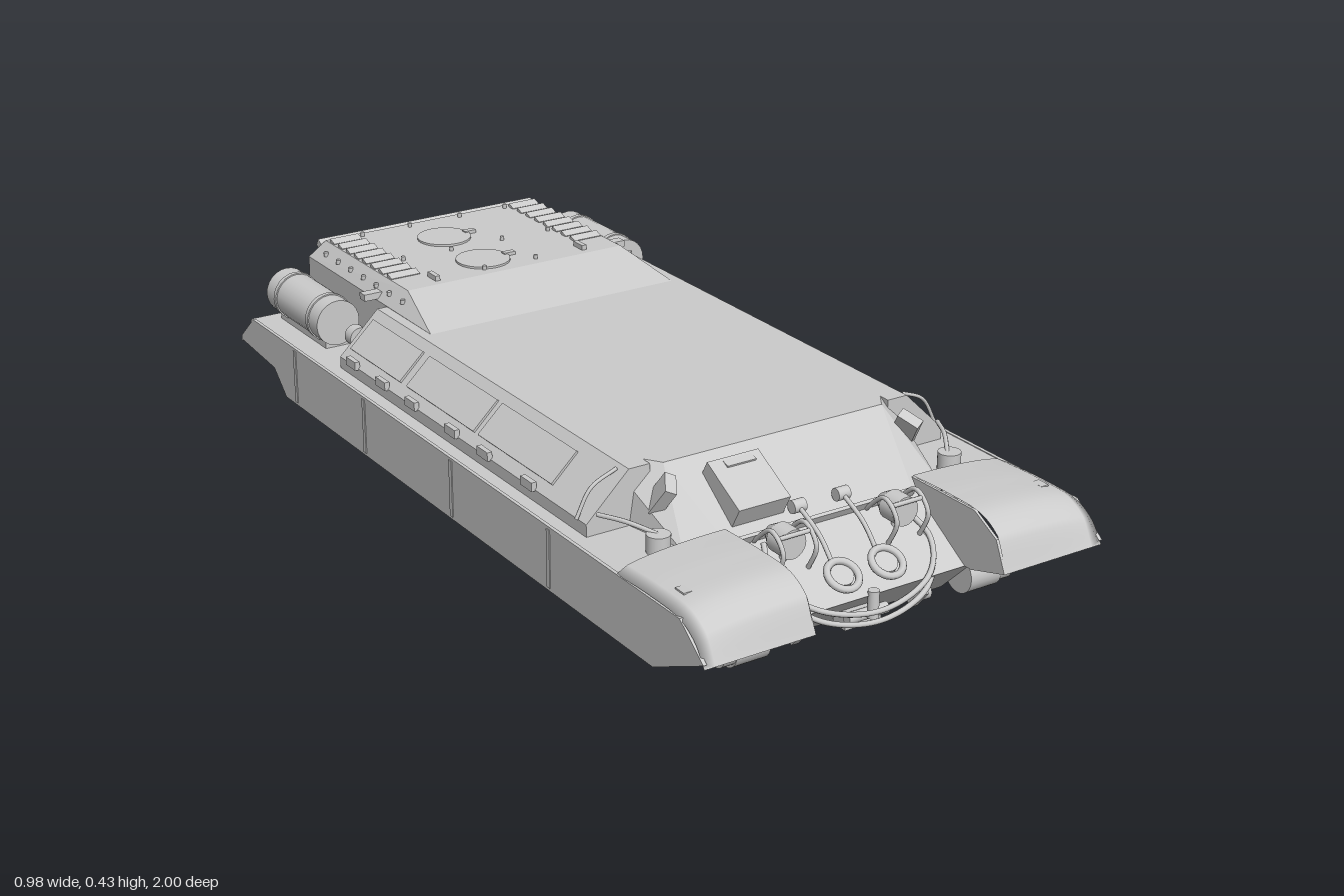
import * as THREE from 'three';
import { ConvexGeometry } from 'three/addons/geometries/ConvexGeometry.js';
import { ParametricGeometry } from 'three/addons/geometries/ParametricGeometry.js';

const mat = new THREE.MeshStandardMaterial({ color: 0xcccccc });
const thin = new THREE.MeshStandardMaterial({ color: 0xcccccc, side: THREE.DoubleSide });

export function createModel() {
  const model = new THREE.Group();
  model.name = 'trackedVehicleHull';

  const add = (name, geo, pos = [0, 0, 0], rot = [0, 0, 0], material = mat) => {
    const m = new THREE.Mesh(geo, material);
    m.name = name;
    m.position.set(...pos);
    m.rotation.set(...rot);
    model.add(m);
    return m;
  };
  const box = (name, size, pos, rot) => add(name, new THREE.BoxGeometry(...size), pos, rot);
  // cylinder along the axis 'x', 'y' or 'z'
  const cyl = (name, r, len, pos, axis = 'y', r2 = r, sides = 24) => {
    const g = new THREE.CylinderGeometry(r, r2, len, sides);
    if (axis === 'x') g.rotateZ(-Math.PI / 2);
    if (axis === 'z') g.rotateX(Math.PI / 2);
    return add(name, g, pos);
  };
  const tube = (name, pts, r = 0.005) => add(name, new THREE.TubeGeometry(
    new THREE.CatmullRomCurve3(pts.map(p => new THREE.Vector3(...p))), pts.length * 8, r, 8));
  // side profile of [z, y] points extruded between two x positions
  const profile = (name, pts, xa, xb) => {
    const shape = new THREE.Shape(pts.map(p => new THREE.Vector2(...p)));
    const g = new THREE.ExtrudeGeometry(shape, { depth: Math.abs(xb - xa), bevelEnabled: false });
    g.rotateY(-Math.PI / 2).translate(Math.max(xa, xb), 0, 0);
    return add(name, g);
  };
  // convex solid symmetric about x = 0
  const solid = (name, pts) => add(name, new ConvexGeometry(pts.flatMap(([x, y, z]) =>
    [new THREE.Vector3(x, y, z), new THREE.Vector3(-x, y, z)])));

  // main body
  profile('lowerHull', [[0.72, 0.25], [0.88, 0.15], [0.79, 0.06], [-0.76, 0.06], [-0.92, 0.2], [-0.95, 0.25]], -0.25, 0.25);
  solid('superstructure', [
    [0.275, 0.375, 0.54], [0.33, 0.375, 0.455], [0.35, 0.375, 0.43], [0.35, 0.375, -0.4],
    [0.23, 0.245, 0.715], [0.32, 0.245, 0.68], [0.35, 0.245, 0.53], [0.35, 0.245, -0.4]]);
  solid('engineDeck', [
    [0.3, 0.375, -0.33], [0.29, 0.42, -0.5], [0.29, 0.42, -0.92], [0.325, 0.375, -0.33],
    [0.325, 0.378, -0.945], [0.325, 0.245, -0.33], [0.325, 0.245, -0.95]]);

  // suspension stations along the hull
  const stations = [0.58, 0.2, -0.2, -0.57];

  for (const s of [1, -1]) {
    // sloped side compartment
    add('sideCompartment', new ConvexGeometry([0.53, -0.54].flatMap(z =>
      [[0.3, 0.245], [0.45, 0.245], [0.45, 0.278], [0.35, 0.375], [0.3, 0.375]]
        .map(([x, y]) => new THREE.Vector3(s * x, y, z)))));
    for (const [z, len] of [[0.22, 0.3], [-0.1, 0.3], [-0.4, 0.24]]) {
      box('stowagePanel', [0.085, 0.008, len], [s * 0.4, 0.328, z], [0, 0, -s * 0.76]);
      for (const d of [-0.3, 0.3])
        box('panelLatch', [0.012, 0.02, 0.045], [s * 0.452, 0.285, z + d * len]);
    }

    // fender and skirt
    box('fender', [0.25, 0.01, 1.66], [s * 0.365, 0.246, -0.11]);
    profile('sideSkirt', [[0.73, 0.253], [0.92, 0.253], [1, 0.19], [0.83, 0.11], [-0.76, 0.11],
      [-0.82, 0.165], [-1, 0.18], [-0.93, 0.253]], s * 0.482, s * 0.49);
    for (const z of [0.45, 0.05, -0.35, -0.7])
      box('skirtSeam', [0.004, 0.13, 0.012], [s * 0.49, 0.182, z]);

    // crowned front mudguard, following a curve and rising toward the inside
    const curve = new THREE.CatmullRomCurve3([[0.7, 0.252], [0.82, 0.256], [0.92, 0.25], [0.97, 0.222], [1, 0.18]]
      .map(([z, y]) => new THREE.Vector3(0, y, z)));
    add('frontMudguard', new ParametricGeometry((u, v, t) => {
      curve.getPoint(v, t);
      t.x = s * (0.235 + 0.253 * u);
      t.y += 0.03 * Math.sqrt(Math.max(0, 1 - u * u)) * Math.min(1, 4 * (1 - v));
    }, 10, 20), undefined, undefined, thin);
    profile('mudguardInnerWall', [[0.7, 0.28], [0.9, 0.282], [0.97, 0.245], [1, 0.18], [0.9, 0.15], [0.8, 0.15]],
      s * 0.232, s * 0.238);

    // rear mudguard
    profile('rearMudguard', [[-0.93, 0.251], [-1, 0.19], [-1, 0.175], [-0.99, 0.18], [-0.92, 0.241]], s * 0.24, s * 0.49);
    profile('rearMudguardGusset', [[-0.9, 0.25], [-0.93, 0.29], [-0.99, 0.25], [-0.99, 0.2]], s * 0.235, s * 0.243);

    // suspension shields and tapered bracket pairs
    for (const z of stations) {
      profile('suspensionShield', [[z - 0.055, 0.13], [z - 0.05, 0.06], [z - 0.035, 0.012], [z - 0.02, 0],
        [z + 0.02, 0], [z + 0.035, 0.012], [z + 0.05, 0.06], [z + 0.055, 0.13], [z + 0.03, 0.17], [z - 0.03, 0.17]],
        s * 0.249, s * 0.257);
      cyl('armPivot', 0.03, 0.05, [s * 0.27, 0.13, z], 'x');
      for (const d of [-0.025, 0.025])
        add('skirtBracket', new ConvexGeometry([[0.25, 0.12, 0.155], [0.485, 0.12, 0.132]].flatMap(([x, a, b]) =>
          [a, b].flatMap(y => [-0.006, 0.006].map(e => new THREE.Vector3(s * x, y, z + d + e))))));
    }

    // front idler mount and rear drive housing
    cyl('idlerMount', 0.043, 0.08, [s * 0.29, 0.112, 0.84], 'x');
    cyl('idlerCap', 0.032, 0.035, [s * 0.342, 0.112, 0.85], 'x');
    box('idlerCrank', [0.03, 0.05, 0.09], [s * 0.315, 0.135, 0.82], [0.4, 0, 0]);
    cyl('driveHousing', 0.07, 0.06, [s * 0.275, 0.122, -0.87], 'x');
    cyl('driveHub', 0.045, 0.04, [s * 0.32, 0.122, -0.87], 'x');

    // fuel drum with straps
    cyl('fuelDrum', 0.055, 0.27, [s * 0.398, 0.315, -0.785], 'z');
    box('drumCradle', [0.08, 0.03, 0.24], [s * 0.385, 0.262, -0.785]);
    for (const z of [-0.87, -0.7]) cyl('drumStrap', 0.058, 0.012, [s * 0.398, 0.315, z], 'z');
    cyl('drumCap', 0.025, 0.03, [s * 0.365, 0.285, -0.62], 'z');

    // engine deck louvres and edge bolts
    for (let i = 0; i < 8; i++)
      box('deckLouvre', [0.075, 0.008, 0.022], [s * 0.25, 0.422, -0.89 + i * 0.042], [0.35, 0, 0]);
    for (let i = 0; i < 7; i++)
      cyl('edgeBolt', 0.006, 0.01, [s * 0.31, 0.4, -0.88 + i * 0.065], 'y', 0.006, 8);
    box('deckBracket', [0.045, 0.016, 0.025], [s * 0.335, 0.387, -0.6]);
    box('deckHandle', [0.012, 0.014, 0.04], [s * 0.2, 0.425, -0.54]);

    // glacis fittings
    box('sightBlock', [0.025, 0.075, 0.05], [s * 0.307, 0.33, 0.585], [0.5, s * 0.5, s * 0.2]);
    cyl('headlamp', 0.032, 0.045, [s * 0.14, 0.262, 0.775], 'z');
    cyl('headlampBack', 0.032, 0.03, [s * 0.14, 0.262, 0.738], 'z', 0.015);
    cyl('headlampStem', 0.008, 0.05, [s * 0.14, 0.215, 0.765]);
    for (const x of [0.1, 0.18])
      tube('lampGuard', [[s * x, 0.19, 0.79], [s * x, 0.26, 0.82], [s * x, 0.295, 0.78], [s * x, 0.24, 0.71]]);
    tube('lampGuardBar', [[s * 0.1, 0.285, 0.8], [s * 0.18, 0.285, 0.8]]);
    const ring = new THREE.TorusGeometry(0.034, 0.008, 8, 24);
    add('towRing', ring, [s * 0.055, 0.195, 0.85], [-1.0, 0, 0]);
    cyl('towRingBase', 0.027, 0.03, [s * 0.055, 0.183, 0.837]).rotation.x = 0.55;
    tube('glacisStrut', [[s * 0.055, 0.2, 0.82], [s * 0.055, 0.25, 0.77], [s * 0.055, 0.29, 0.69]]);
    cyl('strutHead', 0.014, 0.03, [s * 0.055, 0.285, 0.695], 'x');
    box('shackle', [0.018, 0.055, 0.035], [s * 0.15, 0.09, 0.83], [0.7, 0, 0]);
    cyl('lowerEye', 0.018, 0.025, [s * 0.19, 0.07, 0.8], 'x');

    // fender fittings
    cyl('markerLamp', 0.025, 0.04, [s * 0.365, 0.27, 0.66]);
    tube('markerLampStay', [[s * 0.36, 0.285, 0.66], [s * 0.4, 0.3, 0.6], [s * 0.43, 0.3, 0.54]]);
    box('fenderCleat', [0.065, 0.016, 0.018], [s * 0.39, 0.265, 0.75]);
    box('mudguardLatch', [0.02, 0.02, 0.03], [s * 0.44, 0.265, 0.86]);
    tube('sideRail', [[s * 0.36, 0.368, 0.5], [s * 0.42, 0.34, 0.5], [s * 0.455, 0.28, 0.5]], 0.004);

    // rear fittings
    box('rearTowBracket', [0.025, 0.06, 0.04], [s * 0.17, 0.19, -0.93]);
    box('rearLamp', [0.03, 0.035, 0.025], [s * 0.28, 0.36, -0.955]);
  }

  // hatch on the glacis
  box('driverHatch', [0.125, 0.055, 0.13], [-0.142, 0.322, 0.635], [0.5, 0, 0]);
  box('hatchSight', [0.07, 0.018, 0.025], [-0.135, 0.364, 0.6], [0.3, 0, 0]);

  // front tow fittings and cables
  box('towBlock', [0.09, 0.04, 0.04], [0, 0.088, 0.83]);
  cyl('towPin', 0.012, 0.1, [0, 0.1, 0.86], 'x');
  cyl('towHook', 0.012, 0.06, [0, 0.13, 0.88]);
  for (const d of [0, 0.022])
    tube('towCable', [[-0.17, 0.25 - d, 0.74], [-0.195, 0.2 - d / 2, 0.81], [-0.14, 0.155 - d, 0.88], [0, 0.125 - d, 0.905],
      [0.14, 0.155 - d, 0.88], [0.195, 0.2 - d / 2, 0.81], [0.17, 0.25 - d, 0.74]], 0.006);
  box('splashRail', [0.44, 0.03, 0.008], [0, 0.255, 0.72], [0.5, 0, 0]);

  // engine deck covers and bolt rows
  for (const z of [-0.78, -0.59]) {
    cyl('deckCover', 0.065, 0.006, [-0.04, 0.422, z], 'y', 0.065, 32);
    box('coverHinge', [0.03, 0.008, 0.015], [0.03, 0.424, z]);
  }
  for (const x of [-0.2, -0.07, 0.07, 0.2])
    for (const z of [-0.9, -0.69, -0.53])
      cyl('deckBolt', 0.005, 0.012, [x, 0.424, z], 'y', 0.005, 8);
  box('rearDeckLip', [0.6, 0.02, 0.02], [0, 0.405, -0.938], [0.5, 0, 0]);

  // rear plate: round vent, box and cable
  cyl('rearVent', 0.062, 0.04, [-0.035, 0.31, -0.962], 'z');
  add('rearVentRim', new THREE.TorusGeometry(0.06, 0.011, 10, 32), [-0.035, 0.31, -0.986]);
  cyl('rearVentHub', 0.03, 0.02, [-0.035, 0.31, -0.982], 'z');
  box('rearBox', [0.08, 0.11, 0.045], [0.17, 0.325, -0.972]);
  box('rearBoxLid', [0.088, 0.012, 0.05], [0.17, 0.385, -0.972]);
  for (const x of [-0.16, -0.2]) box('rearCleat', [0.018, 0.05, 0.02], [x, 0.32, -0.958]);
  tube('rearCable', [[0.22, 0.19, -0.93], [0.12, 0.155, -0.94], [0, 0.145, -0.94], [-0.12, 0.155, -0.94], [-0.22, 0.19, -0.93]]);

  return model;
}
